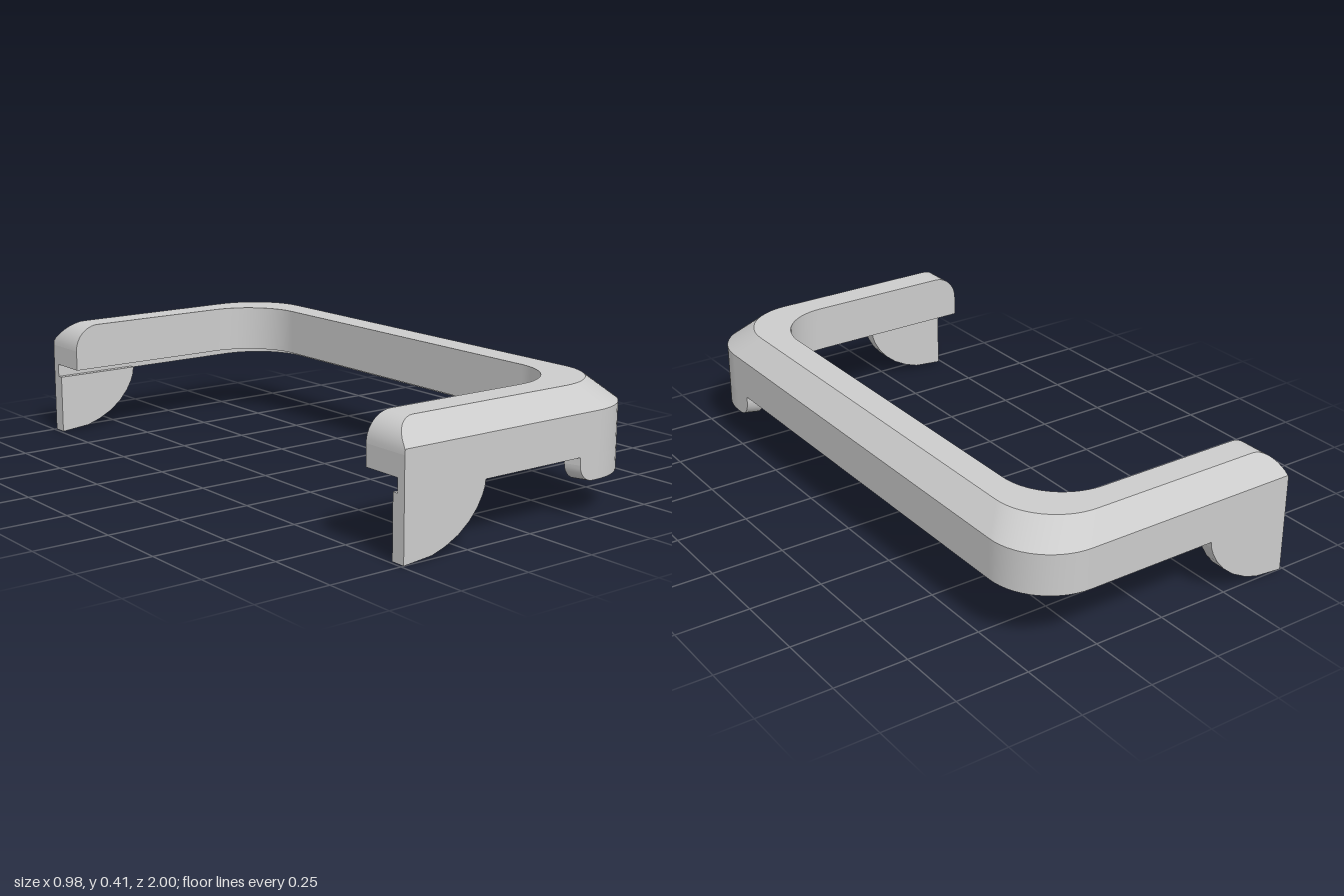
import * as THREE from 'three';
import { mergeGeometries } from 'three/addons/utils/BufferGeometryUtils.js';

const material = new THREE.MeshStandardMaterial({ color: 0xcccccc });
const HALF_X = 0.49, HALF_Z = 1, RADIUS = 0.21;

function geometryFrom(points, index) {
  const g = new THREE.BufferGeometry();
  g.setAttribute('position', new THREE.Float32BufferAttribute(points.flat(), 3));
  g.setIndex(index);
  g.computeVertexNormals();
  return g;
}

// Joins rings of points; smooth along the sweep, sharp between the section's sides.
// The caps are fans from the ring corner "hub".
function sweep(rings, hub) {
  const n = rings[0].length, parts = [];
  for (let j = 0; j < n; j++) {
    const points = [], index = [];
    rings.forEach((ring, i) => {
      points.push(ring[j], ring[(j + 1) % n]);
      if (i === 0) return;
      const a = 2 * i - 2, d = a + 1, b = a + 2, c = a + 3;
      index.push(a, b, c, a, c, d);
    });
    parts.push(geometryFrom(points, index));
  }
  const fan = [], back = [];
  for (let k = 1; k < n - 1; k++) {
    const p = (hub + k) % n, q = (hub + k + 1) % n;
    fan.push(hub, p, q);
    back.push(hub, q, p);
  }
  parts.push(geometryFrom(rings[0], fan), geometryFrom(rings[rings.length - 1], back));
  return mergeGeometries(parts);
}

// U-shaped rail: chamfered outside, hollow below with a thin outer lip
function railGeometry() {
  const section = (top) => [
    [0, 0.2], [0, Math.min(0.337, top)], [Math.max(0, top - 0.337), top],
    [0.17, top], [0.17, 0.25], [0.03, 0.25], [0.03, 0.2],
  ];
  const half = [];
  // rounded arm end
  for (let i = 0; i <= 10; i++) {
    const a = (i / 10) * Math.PI / 2;
    const x = -0.4 - 0.09 * Math.cos(a);
    half.push(section(0.32 + 0.09 * Math.sin(a)).map(([d, y]) => [x, y, HALF_Z - d]));
  }
  // corner, the same radius at every inset
  for (let i = 0; i <= 14; i++) {
    const a = (1 - i / 14) * Math.PI / 2;
    half.push(section(0.41).map(([d, y]) => [
      HALF_X - d - RADIUS + RADIUS * Math.cos(a), y,
      HALF_Z - d - RADIUS + RADIUS * Math.sin(a),
    ]));
  }
  const mirrored = half.map((ring) => ring.map(([x, y, z]) => [x, y, -z])).reverse();
  return sweep([...half, ...mirrored], 5);
}

// Skirt hanging under one corner, with rounded lower ends
function skirtGeometry() {
  const T = 0.05, CX = HALF_X - RADIUS, CZ = HALF_Z - RADIUS, R = 0.055;
  const ring = (outer, inner, bottom) => [
    [outer[0], bottom, outer[1]], [outer[0], 0.2, outer[1]],
    [inner[0], 0.2, inner[1]], [inner[0], bottom, inner[1]],
  ];
  const straight = [];
  for (let i = 0; i <= 7; i++) {
    const a = (i / 7) * Math.PI / 2;
    const s = R * (1 - Math.cos(a)), bottom = 0.12 + R * (1 - Math.sin(a));
    straight.push([s, bottom]);
  }
  const rings = straight.map(([s, y]) =>
    ring([0.205 + s, HALF_Z], [0.187 + s, HALF_Z - T], y));
  for (let i = 0; i <= 14; i++) {
    const a = (1 - i / 14) * Math.PI / 2, c = Math.cos(a), s = Math.sin(a);
    rings.push(ring([CX + RADIUS * c, CZ + RADIUS * s],
      [CX + (RADIUS - T) * c, CZ + (RADIUS - T) * s], 0.12));
  }
  straight.reverse().forEach(([s, y]) =>
    rings.push(ring([HALF_X, 0.71 + s], [HALF_X - T, 0.692 + s], y)));
  return sweep(rings, 0);
}

// Curved plate under an arm end
function footGeometry() {
  const shape = new THREE.Shape();
  [[-0.49, 0.205], [-0.49, 0], [-0.385, 0.01], [-0.335, 0.027], [-0.285, 0.053],
    [-0.245, 0.085], [-0.215, 0.12], [-0.195, 0.155], [-0.186, 0.18], [-0.183, 0.205],
  ].forEach(([x, y], i) => (i ? shape.lineTo(x, y) : shape.moveTo(x, y)));
  return new THREE.ExtrudeGeometry(shape, { depth: 0.05, bevelEnabled: false });
}

export function createModel() {
  const model = new THREE.Group();
  const add = (name, geometry) => {
    const mesh = new THREE.Mesh(geometry, material);
    mesh.name = name;
    model.add(mesh);
    return mesh;
  };
  add('rail', railGeometry());
  add('cornerSkirt', skirtGeometry());
  add('frontFoot', footGeometry()).position.z = HALF_Z - 0.05;
  add('backFoot', footGeometry()).position.z = -HALF_Z;
  return model;
}
